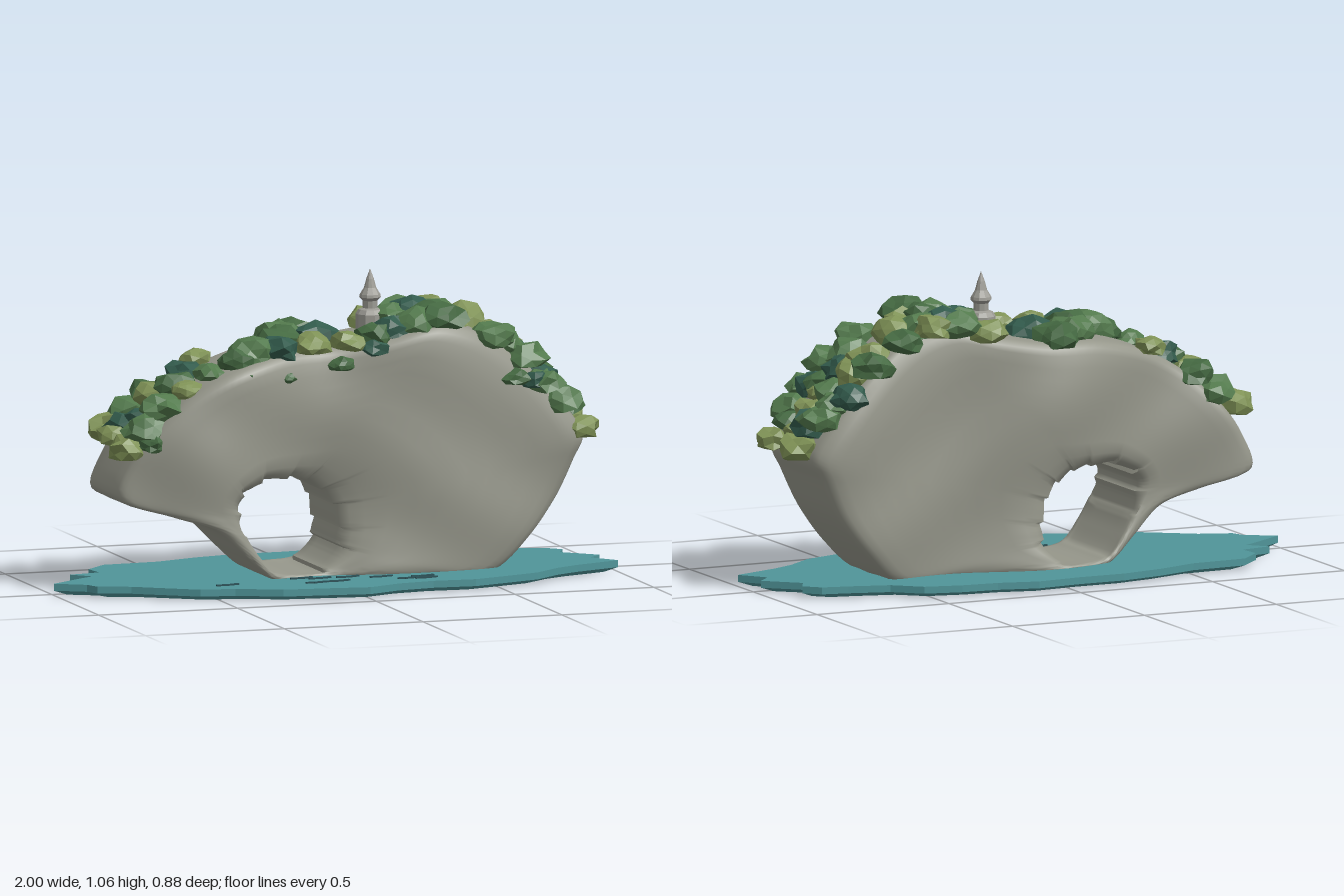
import * as THREE from 'three';
import { mergeVertices, toCreasedNormals } from 'three/addons/utils/BufferGeometryUtils.js';

const mat = (name, color, flatShading = true) => {
  const m = new THREE.MeshStandardMaterial({ color, flatShading });
  m.name = name;
  return m;
};
let seed = 7;
const rand = () => (seed = (seed * 16807) % 2147483647) / 2147483647;
const closed = (pts) => new THREE.CatmullRomCurve3(pts.map(([x, y]) => new THREE.Vector3(x, y, 0)), true, 'catmullrom', 0.45);

// Paired outlines, counter-clockwise: cliff rim and arch opening
const RIM = [[.87, .49], [.78, .62], [.65, .75], [.5, .85], [.35, .89], [.18, .85], [0, .82], [-.2, .81],
  [-.4, .76], [-.55, .68], [-.67, .57], [-.75, .46], [-.79, .33], [-.62, .27], [-.47, .22], [-.36, .12],
  [-.25, .035], [-.1, .03], [.1, .03], [.35, .03], [.55, .03], [.68, .14], [.78, .27], [.84, .4]];
const ARCH = [[-.02, .28], [-.04, .31], [-.06, .33], [-.09, .35], [-.12, .365], [-.15, .37], [-.19, .375], [-.24, .375],
  [-.29, .37], [-.33, .35], [-.36, .33], [-.375, .3], [-.37, .27], [-.37, .24], [-.35, .19], [-.31, .13],
  [-.24, .06], [-.12, .05], [-.06, .06], [-.02, .1], [0, .14], [0, .17], [0, .2], [-.01, .24]];

// Rock: a ring of closed cross-sections running from arch to rim and back
function rockGeometry() {
  const rim = closed(RIM), arch = closed(ARCH), U = 144;
  const front = [[0, .8], [.04, .9]];
  for (let s = .1; s < .92; s += .1) front.push([s, .96 + .07 * Math.sin(s * Math.PI)]);
  front.push([.95, .95], [.985, .89], [1, .78]);
  const back = front.map(([s, z]) => [s, -z]).reverse();
  const section = [...front, [1, .4], [1.01, 0], [1, -.4], ...back, [0, -.5], [0, -.2], [0, .2], [0, .5]];
  const V = section.length, pos = [], index = [];
  for (let i = 0; i < U; i++) {
    const a = rim.getPoint(i / U), b = arch.getPoint(i / U);
    const ledge = .04 * ((i % 12) / 12);                 // stepped ledges in the opening
    section.forEach(([s, d], j) => {
      const p = b.clone().lerp(a, s);
      const r = Math.max(0, 1 - s * 8) * ledge;
      p.x += (p.x + .19) * r * 2;
      p.y += (p.y - .21) * r * 2;
      // The slab weaves back and forth, less so towards the right end
      const amp = d > 0 ? .036 - .02 * THREE.MathUtils.smoothstep(p.x, -.1, .25) : .034;
      const wave = -amp * Math.cos((p.x + .05) * 7.85);
      const bump = .007 * Math.sin(p.x * 9 + p.y * 14) * d;
      pos.push(p.x, Math.max(p.y, .03), -.024 + d * .192 + wave * (.75 + .25 * Math.abs(d)) + bump);
      const k = (i + 1) % U * V, n = (j + 1) % V, c = i * V;
      index.push(c + j, c + n, k + j, c + n, k + n, k + j);
    });
  }
  const g = new THREE.BufferGeometry();
  g.setAttribute('position', new THREE.Float32BufferAttribute(pos, 3));
  g.setIndex(index);
  return toCreasedNormals(g, 1.1);
}

// Faceted shrub: a jittered dome, cut low underneath
function bushGeometry() {
  let g = new THREE.IcosahedronGeometry(1, 1);
  g.deleteAttribute('normal');
  g.deleteAttribute('uv');
  g = mergeVertices(g, 1e-3);
  const p = g.attributes.position, v = new THREE.Vector3();
  for (let i = 0; i < p.count; i++) {
    v.fromBufferAttribute(p, i).multiplyScalar(.8 + rand() * .45);
    p.setXYZ(i, v.x, Math.max(v.y, -.6 + v.x * .2) * .66, v.z);
  }
  g = g.toNonIndexed();
  g.computeVertexNormals();
  return g;
}

const CREST = [[-.82, .49], [-.7, .56], [-.55, .69], [-.4, .775], [-.2, .82], [0, .825], [.18, .855],
  [.35, .9], [.5, .86], [.65, .76], [.78, .62], [.86, .51], [.93, .49]];
function crestY(x) {
  const i = Math.max(1, CREST.findIndex((c) => c[0] >= x));
  const [a, b] = [CREST[i - 1], CREST[i]];
  return a[1] + (b[1] - a[1]) * (x - a[0]) / (b[0] - a[0]);
}

// Shrubs per foliage colour: x, z, radius, optional height
const BUSHES = {
  olive: [[-.74, -.14, .085], [-.76, -.02, .07], [-.6, -.08, .08], [-.75, .08, .075, .5], [-.43, -.15, .06], [-.1, .1, .07],
    [.2, -.18, .07], [.4, -.17, .075], [.03, .11, .06], [-.55, .1, .055], [.42, .03, .07], [.5, -.08, .09],
    [.6, -.11, .085], [.67, -.12, .085], [.74, 0, .06], [.79, -.04, .08], [.84, 0, .045, .55], [.87, .1, .065, .5],
    [.87, -.11, .09, .5]],
  leaf: [[-.67, -.15, .085], [-.7, .1, .08], [-.62, .09, .085], [-.46, .08, .06], [-.3, .07, .09], [-.14, -.12, .09],
    [.3, -.17, .08], [.28, .1, .08], [.42, -.1, .08], [.25, -.06, .08], [.55, .12, .08], [.61, .05, .085],
    [.66, .11, .085], [.73, .14, .07, .67], [.73, -.07, .08], [.76, -.15, .08], [.79, .1, .085, .6], [.83, -.18, .08, .61]],
  moss: [[-.55, -.02, .075], [-.19, 0, .095], [-.07, -.17, .085], [.13, .1, .07], [.37, .11, .085], [.36, 0, .08],
    [.52, -.18, .07], [.64, -.18, .08], [.72, .04, .075], [-.6, -.14, .08], [-.68, .13, .055, .52], [.84, .04, .06, .57],
    [-.34, .16, .03, .75], [-.2, .14, .035, .725], [0, .13, .045, .765], [.62, .15, .055, .69], [-.36, .09, .07]],
  pine: [[-.71, -.04, .08], [-.03, -.06, .09], [.2, .09, .07], [.33, -.1, .085], [-.22, .1, .075], [.73, .07, .08],
    [.73, -.2, .075], [.67, -.02, .08], [.82, -.11, .085, .58], [-.5, -.07, .075], [.12, .13, .055, .815],
    [-.67, .03, .07], [.69, .16, .05, .68]],
};

// Pond outline in x and z
const POND = [[-1, .02], [-.87, -.07], [-.82, -.1], [-.88, -.16], [-.77, -.18], [-.78, -.26], [-.7, -.34], [-.5, -.35],
  [-.35, -.4], [-.2, -.43], [-.03, -.43], [.13, -.445], [.27, -.41], [.4, -.4], [.53, -.37], [.62, -.29], [.76, -.25],
  [.85, -.23], [.9, -.18], [.87, -.12], [.98, -.02], [.93, .03], [1, .12], [.83, .18], [.75, .22], [.65, .3], [.53, .34],
  [.4, .38], [.25, .37], [.12, .39], [0, .44], [-.13, .42], [-.3, .4], [-.45, .33], [-.57, .31], [-.7, .22],
  [-.77, .17], [-.88, .13], [-.9, .08]];

export function createModel() {
  const model = new THREE.Group();
  const stone = mat('rock grey', 0x96978b, false);
  const water = mat('water teal', 0x509599), ripple = mat('ripple dark teal', 0x2a5056);
  const shrine = mat('shrine grey', 0x9b9a93);
  const foliage = { olive: mat('olive foliage', 0x7f9256), leaf: mat('leaf foliage', 0x537a4d),
    moss: mat('moss foliage', 0x456a42), pine: mat('pine foliage', 0x335c4d) };
  const add = (name, geo, material, parent = model) => {
    const m = new THREE.Mesh(geo, material);
    m.name = name;
    parent.add(m);
    return m;
  };

  // Water slab: upright edge above, underside drawn in
  const shape = new THREE.Shape(POND.map(([x, z]) => new THREE.Vector2(x, -z)));
  const pond = new THREE.ExtrudeGeometry(shape, { depth: .04, steps: 2, bevelEnabled: false }).rotateX(-Math.PI / 2);
  const p = pond.attributes.position;
  for (let i = 0; i < p.count; i++) {
    if (p.getY(i) < .01) p.setXYZ(i, p.getX(i) * .95, 0, p.getZ(i) * .9);
    else if (p.getY(i) < .03) p.setY(i, .016);
  }
  pond.computeVertexNormals();
  add('water', pond, water);

  // Ripples
  const ripples = new THREE.Group();
  ripples.name = 'ripples';
  model.add(ripples);
  for (const [x, z] of [[-.45, .25], [-.16, .18], [-.14, .29], [-.06, .28], [0, .2], [.11, .23], [.25, .26], [.19, .29], [.25, .3], [-.1, .2]]) {
    for (const k of [-1, 0, 1]) {
      const r = add('ripple', new THREE.BoxGeometry(.032, .006, .011), ripple, ripples);
      r.position.set(x + k * .026, .042, z - k * .004 - Math.abs(k) * .003);
      r.rotation.y = .15 + k * .15;
    }
  }

  add('archRock', rockGeometry(), stone);

  // Shrubs along the crest
  for (const [kind, list] of Object.entries(BUSHES)) {
    const group = new THREE.Group();
    group.name = kind + 'Bushes';
    model.add(group);
    for (const [x, z, r, y] of list) {
      const b = add('bush', bushGeometry(), foliage[kind], group);
      b.position.set(x, y ?? crestY(x) + .005, z);
      b.rotation.y = rand() * 6.28;
      b.scale.set(r * .95, r, r * .9);
    }
  }

  // Small spired shrine on the summit
  const profile = [[.05, .85], [.05, .905], [.04, .92], [.026, .925], [.026, .95], [.037, .962], [.035, .972],
    [.021, .995], [.013, 1.025], [0, 1.06]];
  add('shrine', new THREE.LatheGeometry(profile.map(([r, y]) => new THREE.Vector2(r, y)), 10), shrine).position.set(.17, 0, -.07);
  return model;
}
